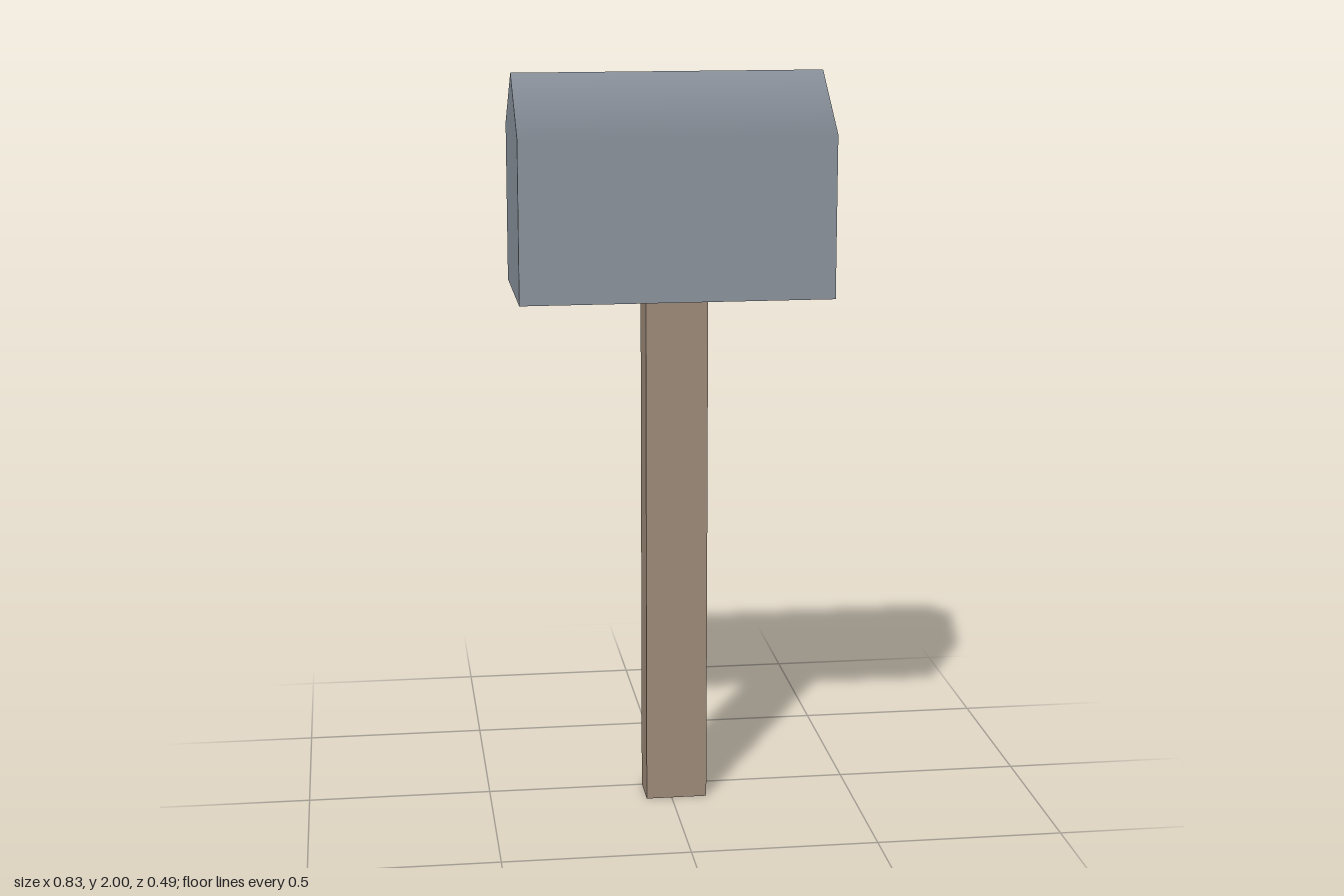
import * as THREE from 'three';

const paint = (color) => new THREE.MeshStandardMaterial({ color });

export function createModel() {
  const model = new THREE.Group();
  const metal = paint(0x8c949e);

  // Adds a box given its min and max along each axis
  const addBox = (name, material, [x0, x1], [y0, y1], [z0, z1], parent = model) => {
    const mesh = new THREE.Mesh(new THREE.BoxGeometry(x1 - x0, y1 - y0, z1 - z0), material);
    mesh.position.set((x0 + x1) / 2, (y0 + y1) / 2, (z0 + z1) / 2);
    mesh.name = name;
    parent.add(mesh);
  };

  // Square post
  addBox('post', paint(0x9e8c7a), [-0.07, 0.097], [0, 1.42], [-0.005, 0.11]);

  // Mailbox: box body under a two-sided, smooth-shaded roof
  const mailbox = new THREE.Group();
  mailbox.name = 'mailbox';
  model.add(mailbox);
  addBox('body', metal, [-0.415, 0.415], [1.42, 1.85], [-0.188, 0.243], mailbox);

  // Half cylinder with two sides, laid along x and flattened
  const roofGeometry = new THREE.CylinderGeometry(1, 1, 0.83, 2, 1, false, 0, Math.PI)
    .rotateZ(Math.PI / 2)
    .scale(1, 0.15, 0.2155);
  const roof = new THREE.Mesh(roofGeometry, metal);
  roof.name = 'roof';
  roof.position.set(0, 1.85, 0.0275);
  mailbox.add(roof);

  // Red flag bar on the back
  addBox('flag', paint(0xa46868), [-0.163, 0.27], [1.63, 1.75], [-0.243, -0.188]);

  return model;
}
